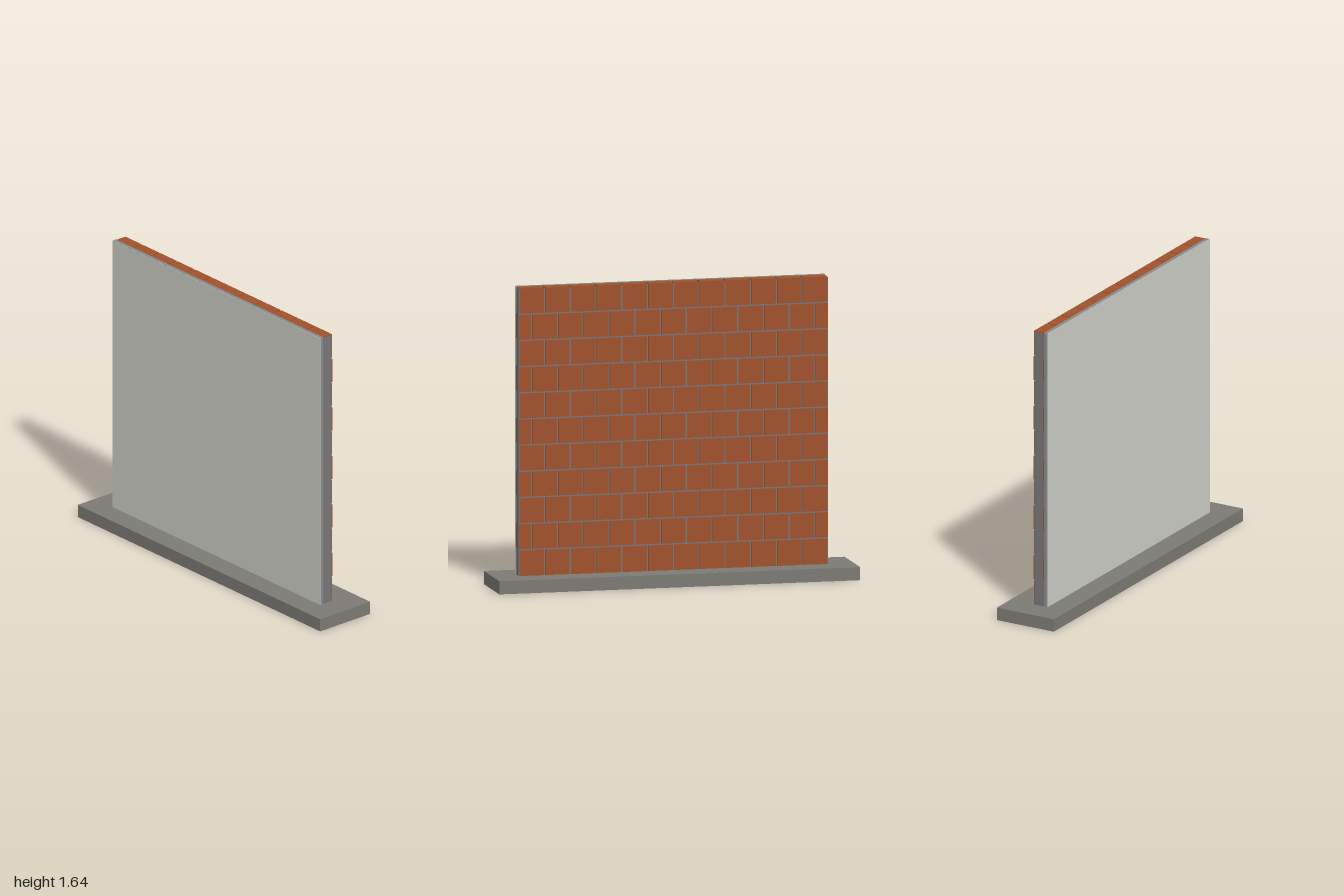
import * as THREE from 'three';

const mat = (name, color) => {
  const m = new THREE.MeshStandardMaterial({ color });
  m.name = name;
  return m;
};

export function createModel() {
  const wall = new THREE.Group();
  wall.name = 'wallSection';

  const concrete = mat('concrete grey', 0x7d7b75);
  const mortar = mat('mortar grey', 0x77777a);
  const brickRed = mat('brick red', 0xa0522d);
  const edgeGrey = mat('panel edge grey', 0x868b8b);
  const plaster = mat('plaster light grey', 0xd0d0c8);

  const unit = 1 / 7;      // one brick square
  const floor = unit / 2;  // top of the footing
  const rows = 11, cols = 12;
  const half = cols * unit / 2;
  const top = floor + rows * unit;
  const gap = 0.008;

  // Box given by its limits on each axis
  const box = (name, material, x0, x1, y0, y1, z0, z1, parent = wall) => {
    const mesh = new THREE.Mesh(new THREE.BoxGeometry(x1 - x0, y1 - y0, z1 - z0), material);
    mesh.position.set((x0 + x1) / 2, (y0 + y1) / 2, (z0 + z1) / 2);
    mesh.name = name;
    parent.add(mesh);
    return mesh;
  };

  // Footing and mortar core
  box('footing', concrete, -1, 1, 0, floor, -0.178, 0.178);
  box('mortarCore', mortar, -half, half, floor, top - 0.006, -0.027, 0.026);

  // Brick courses in running bond, with half bricks closing every second course
  const bricks = new THREE.Group();
  bricks.name = 'bricks';
  wall.add(bricks);
  for (let r = 0; r < rows; r++) {
    const shift = r % 2 ? unit / 2 : 0;
    const y0 = floor + r * unit + (r ? gap / 2 : 0);
    const y1 = floor + (r + 1) * unit - (r < rows - 1 ? gap / 2 : 0.001);
    for (let c = 0; c < cols + (shift ? 1 : 0); c++) {
      const start = -half + c * unit - shift;
      const x0 = Math.max(start + gap / 2, -half + 0.001);
      const x1 = Math.min(start + unit - gap / 2, half - 0.001);
      box('brick', brickRed, x0, x1, y0, y1, -0.034, 0.031, bricks);
    }
  }

  // Facing slab with chamfered front corners, and its plaster skin
  const shape = new THREE.Shape([
    [-half, -0.031], [half, -0.031], [half, -0.049], [half - 0.004, -0.053],
    [-half + 0.004, -0.053], [-half, -0.049],
  ].map(([x, y]) => new THREE.Vector2(x, y)));
  const slab = new THREE.Mesh(
    new THREE.ExtrudeGeometry(shape, { depth: top - floor, bevelEnabled: false }), edgeGrey);
  slab.name = 'facingSlab';
  slab.rotation.x = -Math.PI / 2;
  slab.position.y = floor;
  wall.add(slab);
  box('plasterFace', plaster, -half, half, floor, top, 0.0525, 0.0545);

  return wall;
}
